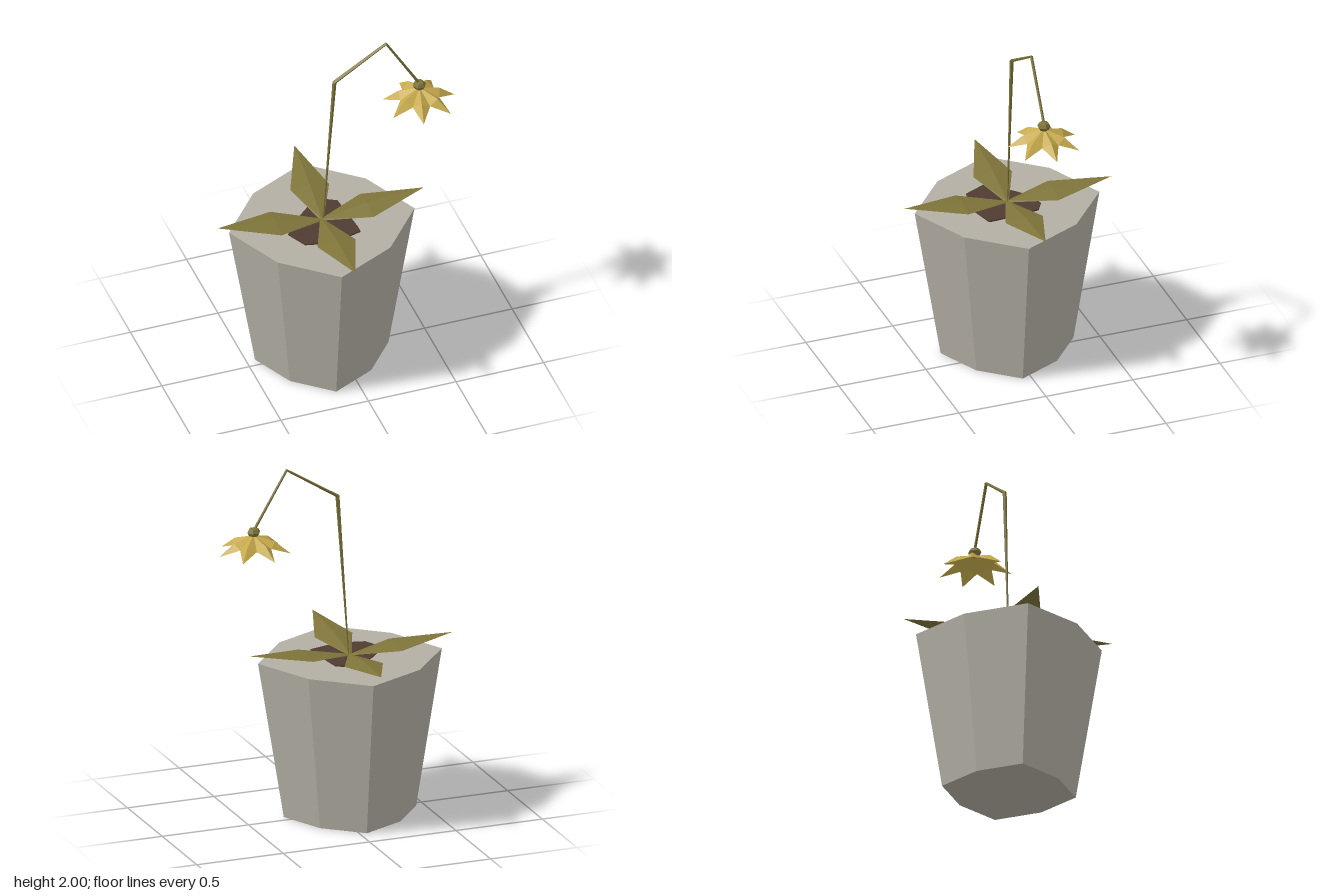
import * as THREE from 'three';

const paint = (name, color, side = THREE.FrontSide) =>
  Object.assign(new THREE.MeshStandardMaterial({ color, side }), { name, flatShading: true });

// Triangles from a list of corner points, counter-clockwise seen from outside
function facets(points) {
  const g = new THREE.BufferGeometry();
  g.setAttribute('position', new THREE.Float32BufferAttribute(points.flat(), 3));
  g.computeVertexNormals();
  return g;
}

// Octagonal pot with alternating corner radii
function potGeometry(cx) {
  const turn = THREE.MathUtils.degToRad(7.5);
  const g = new THREE.CylinderGeometry(0.51, 0.367, 0.885, 8, 1, false, Math.PI / 2 - turn);
  const p = g.attributes.position;
  for (let i = 0; i < p.count; i++) {
    const x = p.getX(i), z = p.getZ(i);
    const k = Math.cos(4 * (Math.atan2(z, x) - turn)) < 0 ? 0.86 : 1;
    p.setX(i, x * k);
    p.setZ(i, z * k);
  }
  g.computeVertexNormals();
  return g.translate(cx, 0.4425, 0);
}

// Folded leaf pointing along +x, midrib raised above its edges
function leafGeometry() {
  const root = [0, 0.897, 0], mid = [0.257, 0.942, 0], tip = [0.583, 0.958, 0];
  const tris = [];
  for (const s of [1, -1]) {
    const inner = [0.01, 0.893, 0.014 * s], edge = [0.257, 0.92, 0.108 * s];
    const half = [[root, inner, edge], [root, edge, mid], [mid, edge, tip]];
    for (const t of half) tris.push(...(s > 0 ? t : [...t].reverse()));
  }
  return facets(tris);
}

// Drooping star of folded petals
function blossomGeometry(count) {
  const at = (r, y, a) => [r * Math.cos(a), y, r * Math.sin(a)];
  const step = (Math.PI * 2) / count, top = [0, 1.645, 0], tris = [];
  for (let i = 0; i < count; i++) {
    const a = i * step;
    const rib = at(0.115, 1.612, a), tip = at(0.2, 1.545, a);
    const n0 = at(0.108, 1.585, a - step / 2), n1 = at(0.108, 1.585, a + step / 2);
    tris.push(top, rib, n0, top, n1, rib, rib, tip, n0, rib, n1, tip);
  }
  return facets(tris);
}

// Bent stem: five-sided rings at each joint, mitred across the bend
function stemGeometry(joints, sides = 5) {
  const rings = joints.map(([x, y, r], i) => {
    const a = joints[Math.max(i - 1, 0)], b = joints[Math.min(i + 1, joints.length - 1)];
    const dir = new THREE.Vector2(b[0] - a[0], b[1] - a[1]).normalize();
    return Array.from({ length: sides }, (_, k) => {
      const t = (k / sides) * Math.PI * 2, c = r * Math.cos(t);
      return [x - dir.y * c, y + dir.x * c, r * Math.sin(t)];
    });
  });
  const tris = [];
  for (let i = 0; i < rings.length - 1; i++)
    for (let k = 0; k < sides; k++) {
      const n = (k + 1) % sides, lo = rings[i], hi = rings[i + 1];
      tris.push(lo[k], lo[n], hi[n], lo[k], hi[n], hi[k]);
    }
  return facets(tris);
}

export function createModel() {
  const model = new THREE.Group();
  const stone = paint('stone grey', 0xb3afa4);
  const earth = paint('earth brown', 0x4f3b30);
  const olive = paint('olive green', 0x7e743a, THREE.DoubleSide);
  const gold = paint('petal gold', 0xc6aa4c, THREE.DoubleSide);
  const cx = -0.087;

  const add = (name, geometry, material) => {
    const mesh = new THREE.Mesh(geometry, material);
    mesh.name = name;
    model.add(mesh);
    return mesh;
  };

  add('pot', potGeometry(cx), stone);

  // Soil: thin irregular patch on the pot's top
  const outline = [[-0.3, 0.06], [-0.245, 0.175], [-0.1, 0.21], [0.075, 0.165], [0.075, 0.12],
    [0.05, -0.13], [-0.01, -0.165], [-0.1, -0.15], [-0.2, -0.06]];
  const soil = new THREE.ExtrudeGeometry(
    new THREE.Shape(outline.map(([x, z]) => new THREE.Vector2(x, -z))),
    { depth: 0.008, bevelEnabled: false });
  add('soil', soil.rotateX(-Math.PI / 2).translate(0, 0.884, 0), earth);

  // Four leaves spread around the stem
  for (let i = 0; i < 4; i++) {
    const leaf = add('leaf', leafGeometry(), olive);
    leaf.position.x = cx;
    leaf.rotation.y = -THREE.MathUtils.degToRad(i * 91.7);
  }

  // Stem joints: x, y, radius
  add('stem', stemGeometry([[-0.08, 0.885, 0.003], [-0.015, 1.805, 0.012],
    [0.28, 1.99, 0.009], [0.465, 1.68, 0.008]]), olive);

  // Flower hanging from the stem's end
  add('flowerBase', new THREE.SphereGeometry(0.037, 6, 4).scale(1, 0.75, 1).translate(0.47, 1.662, 0), olive);
  add('petals', blossomGeometry(7), gold).position.x = 0.47;

  return model;
}
